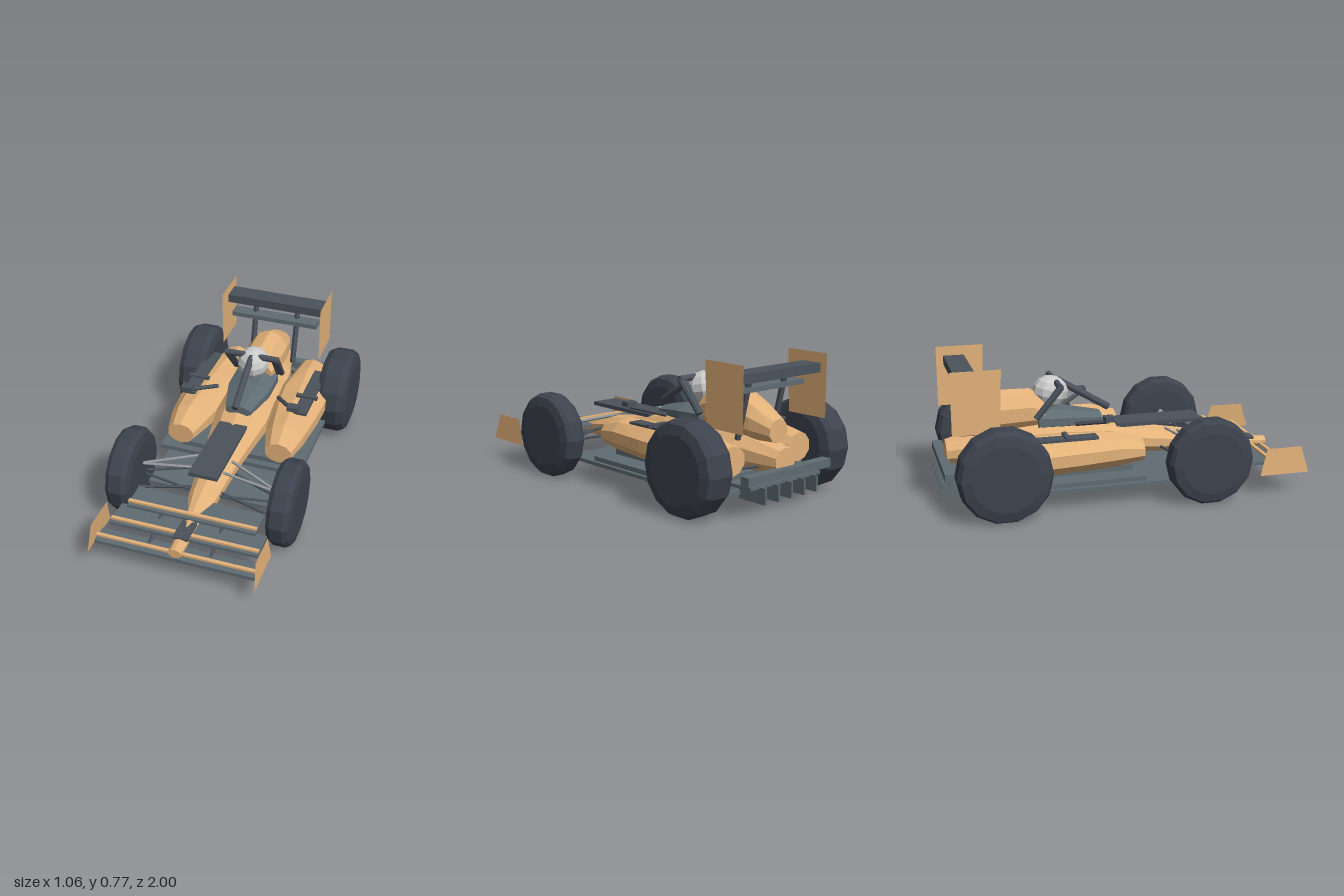
import * as THREE from 'three';

const mat = (color, side = THREE.FrontSide) =>
  new THREE.MeshStandardMaterial({ color, side, flatShading: true });
const GOLD = mat(0xe3b27a), DARK = mat(0x4b525b), SLATE = mat(0x5f6c73);
const TYRE = mat(0x3d434e), STEEL = mat(0x969a9e), WHITE = mat(0xe6e6e6);
const GOLD_SHEET = mat(0xe3b27a, THREE.DoubleSide);

export function createModel() {
  const car = new THREE.Group();
  car.name = 'racingCar';

  const add = (name, geo, material) => {
    const m = new THREE.Mesh(geo, material);
    m.name = name;
    car.add(m);
    return m;
  };
  // Box given by its limits on each axis
  const box = (name, [x0, x1], [y0, y1], [z0, z1], material) =>
    add(name, new THREE.BoxGeometry(Math.abs(x1 - x0), y1 - y0, z1 - z0), material)
      .position.set((x0 + x1) / 2, (y0 + y1) / 2, (z0 + z1) / 2);
  // Straight rod between two points
  const rod = (name, a, b, r, material, sides = 6) => {
    const p = new THREE.Vector3(...a), q = new THREE.Vector3(...b);
    const d = q.clone().sub(p);
    const m = add(name, new THREE.CylinderGeometry(r, r, d.length(), sides), material);
    m.position.copy(p).add(q).multiplyScalar(0.5);
    m.quaternion.setFromUnitVectors(new THREE.Vector3(0, 1, 0), d.normalize());
  };
  // Closed skin through rings [z, cx, cy, rx, ry], ordered front to back
  const loft = (name, rings, n, material) => {
    const pos = [], idx = [], k = 1 / Math.cos(Math.PI / n);
    for (const [z, cx, cy, rx, ry] of rings)
      for (let j = 0; j < n; j++) {
        const a = ((j + 0.5) / n) * Math.PI * 2;
        pos.push(cx + Math.cos(a) * rx * k, cy + Math.sin(a) * ry * k, z);
      }
    const last = (rings.length - 1) * n;
    for (let i = 0; i < last; i += n)
      for (let j = 0; j < n; j++) {
        const a = i + j, b = i + ((j + 1) % n);
        idx.push(a, a + n, b, b, a + n, b + n);
      }
    for (let j = 1; j < n - 1; j++) idx.push(0, j, j + 1, last, last + j + 1, last + j);
    const g = new THREE.BufferGeometry();
    g.setAttribute('position', new THREE.Float32BufferAttribute(pos, 3));
    g.setIndex(idx);
    g.computeVertexNormals();
    return add(name, g, material);
  };
  // Thin vertical sheet from [z, y] corners
  const sheet = (name, x, pts, material, lean = 0) => {
    const s = new THREE.Shape(pts.map(([z, y]) => new THREE.Vector2(z, y)));
    const m = add(name, new THREE.ShapeGeometry(s).rotateY(-Math.PI / 2), material);
    m.position.x = x;
    m.rotation.z = lean;
  };

  // Chassis from nose tip to gearbox
  loft('chassis', [
    [0.92, 0, 0.172, 0.035, 0.026], [0.68, 0, 0.182, 0.042, 0.034],
    [0.64, 0, 0.19, 0.05, 0.045], [0.5, 0, 0.212, 0.078, 0.06],
    [0.2, 0, 0.25, 0.105, 0.072], [0, 0, 0.277, 0.135, 0.09],
    [-0.15, 0, 0.29, 0.155, 0.11], [-0.4, 0, 0.295, 0.165, 0.125],
    [-0.7, 0, 0.285, 0.13, 0.11], [-0.95, 0, 0.265, 0.07, 0.065],
  ], 10, GOLD);
  // Engine cover behind the driver
  loft('engineCover', [
    [-0.41, 0, 0.45, 0.095, 0.09], [-0.48, 0, 0.47, 0.11, 0.112],
    [-0.68, 0, 0.465, 0.11, 0.12], [-0.78, 0, 0.44, 0.095, 0.1],
    [-0.9, 0, 0.41, 0.065, 0.06],
  ], 10, GOLD);
  // Cockpit surround and driver's helmet
  loft('cockpitSurround', [
    [-0.08, 0, 0.4, 0.075, 0.03], [-0.28, 0, 0.415, 0.125, 0.052],
    [-0.45, 0, 0.42, 0.125, 0.055],
  ], 8, SLATE);
  const helmet = add('helmet', new THREE.SphereGeometry(1, 10, 7), WHITE);
  helmet.scale.set(0.093, 0.09, 0.1);
  helmet.position.set(0, 0.563, -0.36);
  helmet.rotation.x = 0.2;

  // Head protection frame
  rod('haloFrontStrut', [0, 0.45, -0.03], [0, 0.625, -0.32], 0.02, DARK, 8);
  rod('haloCrossbar', [-0.16, 0.62, -0.335], [0.16, 0.62, -0.335], 0.018, DARK, 8);

  // Plates on the nose
  box('noseTopPlate', [-0.082, 0.082], [0.347, 0.368], [0, 0.5], DARK);
  box('noseTipPlate', [-0.042, 0.042], [0.197, 0.212], [0.7, 0.84], DARK);

  // Two-step floor
  box('lowerFloor', [-0.385, 0.385], [0.102, 0.122], [-0.83, 0.35], SLATE);
  box('upperFloor', [-0.42, 0.42], [0.145, 0.17], [-0.6, 0.07], SLATE);
  box('floorCore', [-0.3, 0.3], [0.12, 0.2], [-0.8, 0.03], SLATE);

  // Rear beam and diffuser fins
  box('rearBeam', [-0.305, 0.305], [0.19, 0.235], [-0.99, -0.935], SLATE);
  for (let i = -2; i <= 2; i++)
    box('diffuserFin', [i * 0.095 - 0.006, i * 0.095 + 0.006], [0.08, 0.165], [-1, -0.82], SLATE);
  box('diffuserRoof', [-0.26, 0.26], [0.155, 0.172], [-0.96, -0.8], SLATE);

  // Front wing: three stepped planes, each with a gold flap
  [[0.45, 0.122, 0.142, 0.82, 0.925, 0.893, 0.158], [0.41, 0.168, 0.186, 0.65, 0.81, 0.787, 0.198],
    [0.36, 0.208, 0.224, 0.53, 0.695, 0.667, 0.234]].forEach(([w, y0, y1, z0, z1, fz, fy]) => {
    box('frontWingPlane', [-w, w], [y0, y1], [z0, z1], SLATE);
    box('frontWingFlap', [-w, w], [fy - 0.006, fy + 0.006], [fz - 0.01, fz + 0.01], GOLD);
  });

  // Rear wing
  box('rearWingMain', [-0.303, 0.303], [0.677, 0.727], [-0.905, -0.79], DARK);
  box('rearWingLower', [-0.265, 0.265], [0.612, 0.638], [-0.83, -0.75], SLATE);

  // Tyre: turned profile laid on its side
  const tyre = (name, x, y, z, r, w) => {
    const h = w / 2;
    const profile = [[0, -h], [r * 0.72, -h], [r * 0.93, -h * 0.85], [r, -h * 0.5],
      [r, h * 0.5], [r * 0.93, h * 0.85], [r * 0.72, h], [0, h]];
    const g = new THREE.LatheGeometry(profile.map((p) => new THREE.Vector2(...p)), 14);
    add(name, g.rotateZ(Math.PI / 2), TYRE).position.set(x, y, z);
  };

  // Everything that comes in left and right pairs
  for (const s of [-1, 1]) {
    const side = s > 0 ? 'left' : 'right';
    tyre(side + 'FrontWheel', s * 0.453, 0.24, 0.415, 0.238, 0.14);
    tyre(side + 'RearWheel', s * 0.437, 0.254, -0.7, 0.252, 0.185);

    // Sidepod and its top plate
    loft(side + 'Sidepod', [
      [0.08, s * 0.29, 0.285, 0.075, 0.06], [-0.06, s * 0.285, 0.295, 0.11, 0.09],
      [-0.3, s * 0.27, 0.29, 0.145, 0.1], [-0.48, s * 0.265, 0.285, 0.155, 0.1],
      [-0.68, s * 0.25, 0.28, 0.1, 0.095], [-0.82, s * 0.245, 0.275, 0.085, 0.075],
    ], 10, GOLD);
    box(side + 'SidepodPlate', [s * 0.298, s * 0.375], [0.383, 0.396], [-0.64, -0.18], DARK);
    box(side + 'SidepodFin', [s * 0.27, s * 0.395], [0.392, 0.408], [-0.36, -0.335], DARK);

    // Mirror on its stalk
    rod(side + 'MirrorStalk', [s * 0.185, 0.42, -0.26], [s * 0.315, 0.46, -0.11], 0.012, DARK);
    box(side + 'Mirror', [s * 0.285, s * 0.35], [0.463, 0.488], [-0.135, -0.085], DARK);

    // Halo side legs and rear wing pylons
    rod(side + 'HaloRearLeg', [s * 0.15, 0.62, -0.33], [s * 0.14, 0.45, -0.47], 0.018, DARK, 8);
    rod(side + 'HaloInnerLeg', [s * 0.125, 0.61, -0.34], [s * 0.12, 0.45, -0.46], 0.012, DARK, 8);
    rod(side + 'RearWingPylon', [s * 0.13, 0.69, -0.82], [s * 0.13, 0.36, -0.74], 0.017, DARK);

    // Suspension arms
    const arms = [
      [[0.4, 0.285, 0.41], [0.09, 0.325, 0.28], STEEL], [[0.4, 0.285, 0.41], [0.07, 0.3, 0.36], STEEL],
      [[0.4, 0.19, 0.5], [0.07, 0.22, 0.43], DARK], [[0.4, 0.19, 0.37], [0.07, 0.215, 0.46], DARK],
      [[0.4, 0.2, 0.36], [0.09, 0.22, 0.25], DARK],
      [[0.4, 0.3, -0.7], [0.1, 0.32, -0.62], STEEL], [[0.4, 0.22, -0.72], [0.08, 0.23, -0.84], DARK],
    ];
    for (const [a, b, m] of arms)
      rod(side + 'SuspensionArm', [s * a[0], a[1], a[2]], [s * b[0], b[1], b[2]], 0.008, m);

    // Wing end plates and front wing stays
    sheet(side + 'FrontEndPlate', s * 0.462,
      [[1, 0.12], [0.955, 0.27], [0.755, 0.27], [0.715, 0.12]], GOLD_SHEET, s * 0.06);
    sheet(side + 'RearEndPlate', s * 0.304,
      [[-0.68, 0.78], [-0.945, 0.78], [-0.945, 0.44], [-0.695, 0.44]], GOLD_SHEET);
    rod(side + 'FrontWingStay', [s * 0.17, 0.125, 0.88], [s * 0.17, 0.21, 0.6], 0.01, DARK);
  }
  return car;
}
